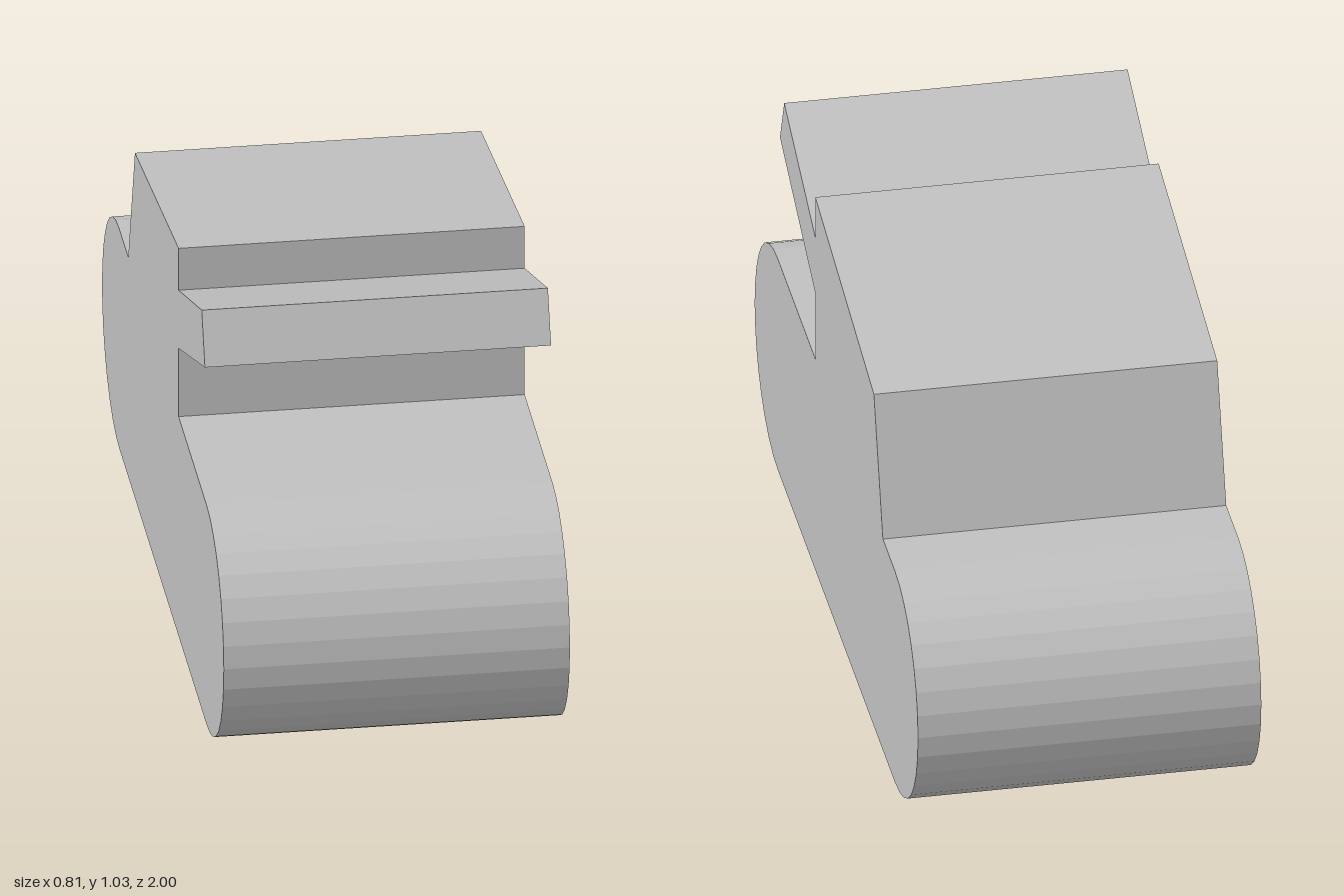
import * as THREE from 'three';

const WIDTH = 0.806;
const RADIUS = 0.283;

export function createModel() {
  const model = new THREE.Group();
  model.name = 'tank';
  const grey = new THREE.MeshStandardMaterial({ name: 'plain grey', color: 0xc0c0c0 });

  // Extrudes a side profile, drawn as (z, y), across the full width in x.
  function addPart(name, shape) {
    const geometry = new THREE.ExtrudeGeometry(shape, {
      depth: WIDTH, bevelEnabled: false, curveSegments: 8,
    });
    geometry.translate(0, 0, -WIDTH / 2);
    geometry.rotateY(-Math.PI / 2);
    const mesh = new THREE.Mesh(geometry, grey);
    mesh.name = name;
    model.add(mesh);
  }

  const polygon = (points) => new THREE.Shape(points.map(([z, y]) => new THREE.Vector2(z, y)));

  // Hull: a stadium profile with rounded front and back
  const hull = new THREE.Shape();
  hull.absarc(1 - RADIUS, RADIUS, RADIUS, -Math.PI / 2, Math.PI / 2);
  hull.absarc(RADIUS - 1, RADIUS, RADIUS, Math.PI / 2, Math.PI * 1.5);
  addPart('hull', hull);

  // Turret: upright front, sloping roof and slanted back
  const top = 2 * RADIUS;
  addPart('turret', polygon([[0.257, top], [0.257, 1.0], [-0.46, 0.89], [-0.57, top]]));

  // Gun: a raised slab meeting the turret front
  addPart('gun', polygon([[0.257, 0.742], [0.69, 0.908], [0.638, 1.03], [0.257, 0.892]]));

  return model;
}
